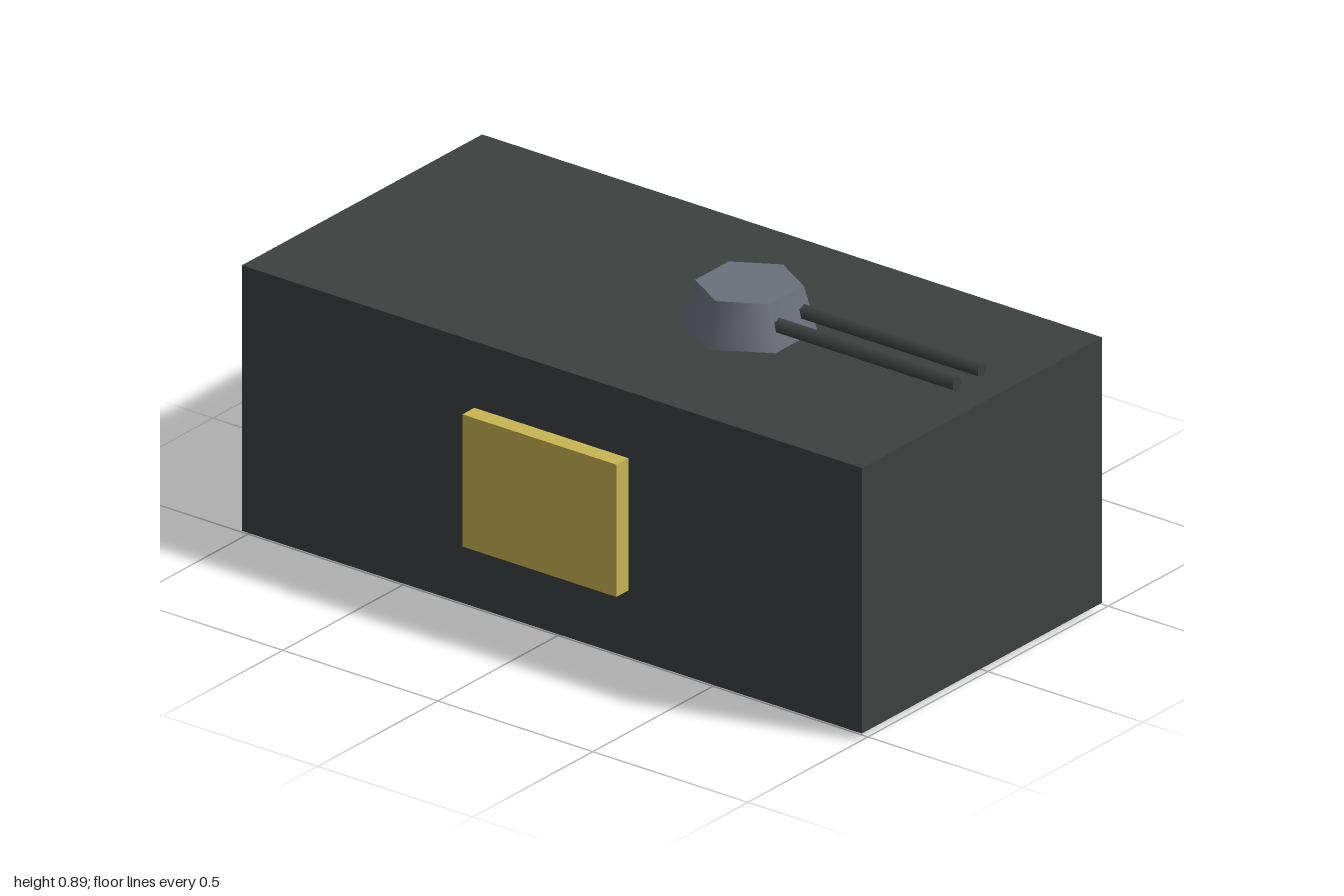
import * as THREE from 'three';

export function createModel() {
  const group = new THREE.Group();
  const material = (name, color) => {
    const m = new THREE.MeshStandardMaterial({ color });
    m.name = name;
    return m;
  };
  const hullGrey = material('dark hull grey', 0x3c4241);
  const turretGrey = material('turret grey', 0x6c707c);
  const shellWhite = material('rocket white', 0xd2d2d2);
  const tipRed = material('rocket red', 0xa82c22);
  const panelYellow = material('panel yellow', 0xc8b552);

  const add = (name, geometry, mat, x, y, z, parent = group) => {
    const mesh = new THREE.Mesh(geometry, mat);
    mesh.name = name;
    mesh.position.set(x, y, z);
    parent.add(mesh);
    return mesh;
  };
  // Prism or cone with its first corner on the +x side
  const prism = (top, bottom, length, sides) =>
    new THREE.CylinderGeometry(top, bottom, length, sides, 1, false, Math.PI / 2);

  const cx = -0.025;

  // Hull block and side panel
  add('hull', new THREE.BoxGeometry(1, 0.747, 2), hullGrey, cx, 0.3935, 0);
  add('sidePanel', new THREE.BoxGeometry(0.05, 0.372, 0.497), panelYellow, -0.55, 0.394, -0.0015);

  // Turret with twin barrels
  const turret = new THREE.Group();
  turret.name = 'turret';
  group.add(turret);
  add('turretBase', prism(0.14, 0.175, 0.124, 6), turretGrey, cx, 0.828, 0.25, turret);
  const barrelGeometry = prism(0.02, 0.02, 0.71, 5).rotateX(Math.PI / 2);
  for (const [name, dx] of [['rightBarrel', -0.053], ['leftBarrel', 0.052]]) {
    add(name, barrelGeometry, hullGrey, cx + dx, 0.828, 0.605, turret);
  }

  // Four stacked rockets on the left side
  const bodyGeometry = prism(0.0625, 0.0625, 0.876, 6).rotateX(Math.PI / 2);
  const tipGeometry = prism(0, 0.0625, 0.125, 6).rotateX(Math.PI / 2);
  for (let i = 0; i < 4; i++) {
    const rocket = new THREE.Group();
    rocket.name = `rocket${i + 1}`;
    rocket.position.set(0.5115, 0.0555 + i * 0.174, 0);
    group.add(rocket);
    add('rocketBody', bodyGeometry, shellWhite, 0, 0, 0, rocket);
    add('rocketTip', tipGeometry, tipRed, 0, 0, 0.5005, rocket);
  }

  return group;
}
